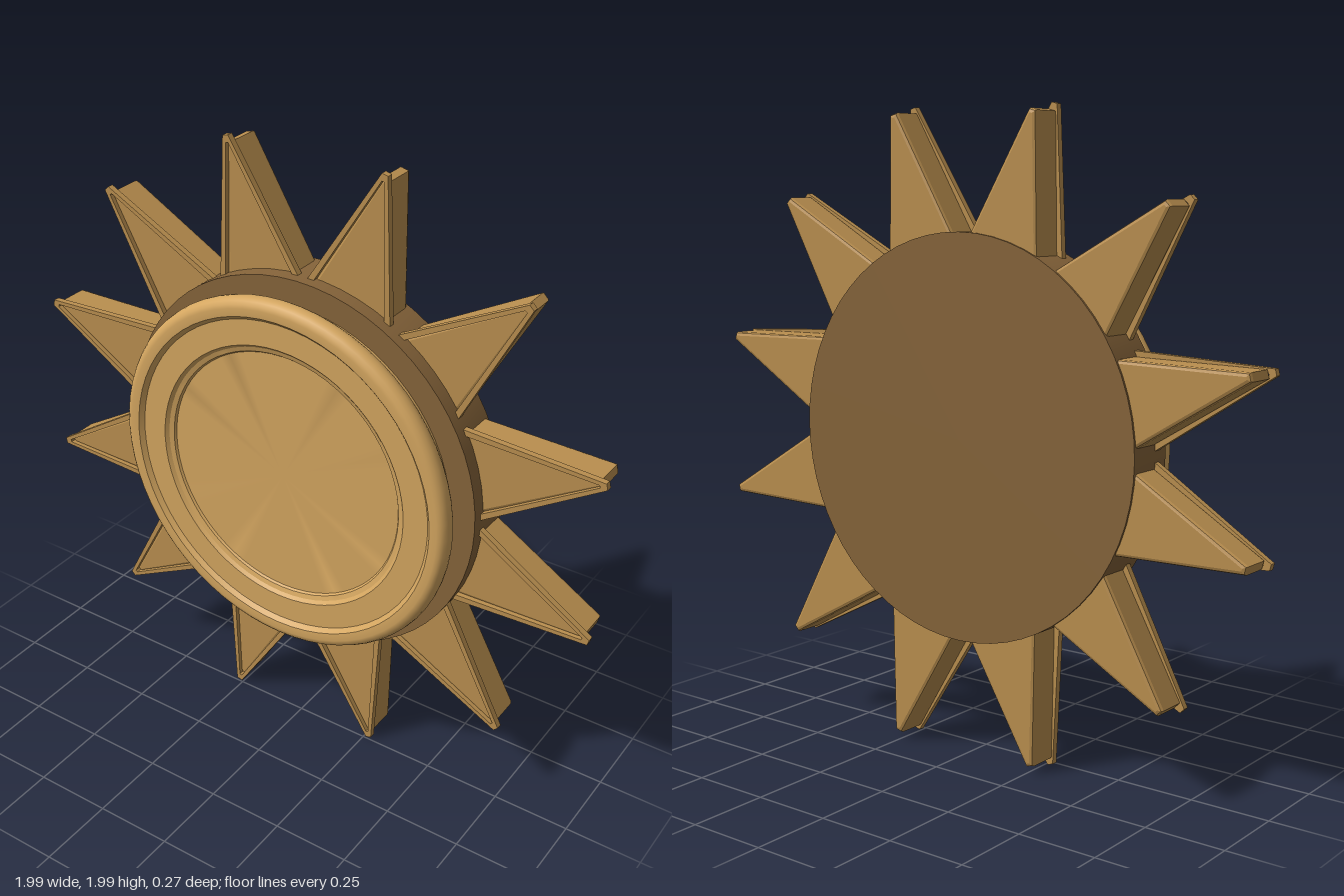
import * as THREE from 'three';
import { toCreasedNormals } from 'three/addons/utils/BufferGeometryUtils.js';

const material = (name, color) => new THREE.MeshStandardMaterial({ name, color });

// Spike outline pointing along +y, shrunk by an inset; rBase hides inside the hub.
function spikeOutline(inset, rBase, Type = THREE.Shape) {
  const slope = 0.32;
  const tip = 1.03 - inset * 1.1;
  const half = r => Math.max(0.004, 0.01 + (1.03 - r) * slope - inset * 1.05);
  return new Type([
    new THREE.Vector2(-half(rBase), rBase),
    new THREE.Vector2(half(rBase), rBase),
    new THREE.Vector2(half(tip), tip),
    new THREE.Vector2(-half(tip), tip),
  ]);
}

// Turned part: [radius, z] points from back to front.
function turned(name, points, mat) {
  const geo = new THREE.LatheGeometry(points.map(([r, z]) => new THREE.Vector2(r, z)), 64);
  geo.rotateX(Math.PI / 2);
  const mesh = new THREE.Mesh(toCreasedNormals(geo, 0.45), mat);
  mesh.name = name;
  return mesh;
}

export function createModel() {
  const lightGold = material('light gold', 0xd4a660);
  const gold = material('gold', 0xba8f4f);
  const darkBronze = material('dark bronze', 0x86643a);

  const model = new THREE.Group();
  model.name = 'sunBadge';
  const badge = new THREE.Group();
  badge.name = 'badge';
  badge.position.y = 1;
  model.add(badge);

  // Hub disc
  badge.add(turned('hubDisc', [[0, -0.135], [0.625, -0.135], [0.625, 0.03], [0, 0.03]], darkBronze));

  // Medallion: neck, rounded rim, flat ring and sunken centre
  const rim = [];
  for (let i = 0; i <= 8; i++) {
    const a = -Math.PI / 2 + (i / 8) * Math.PI;
    rim.push([0.56 + 0.03 * Math.cos(a), 0.104 + 0.034 * Math.sin(a)]);
  }
  badge.add(turned('medallion', [
    [0.545, 0.02], [0.545, 0.07], ...rim,
    [0.535, 0.136], [0.522, 0.122],
    [0.44, 0.122], [0.43, 0.112], [0.415, 0.107], [0.41, 0.1], [0, 0.1],
  ], lightGold));

  // Spike body with softened edges
  const bodyGeo = new THREE.ExtrudeGeometry(spikeOutline(0.03, 0.5), {
    depth: 0.086, bevelEnabled: true, bevelSize: 0.012, bevelThickness: 0.012, bevelSegments: 2,
  });
  bodyGeo.translate(0, 0, -0.116);

  // Raised border along the front edge of each spike
  const borderShape = spikeOutline(0, 0.5);
  borderShape.holes.push(spikeOutline(0.02, 0.52, THREE.Path));
  const borderGeo = new THREE.ExtrudeGeometry(borderShape, {
    depth: 0.02, bevelEnabled: false,
  });
  borderGeo.translate(0, 0, -0.025);

  // Ring of twelve spikes
  for (let i = 0; i < 12; i++) {
    const spike = new THREE.Group();
    spike.name = `spike${i + 1}`;
    const body = new THREE.Mesh(bodyGeo, gold);
    body.name = 'spikeBody';
    const border = new THREE.Mesh(borderGeo, gold);
    border.name = 'spikeBorder';
    spike.add(body, border);
    spike.rotation.z = ((i + 0.5) / 12) * Math.PI * 2;
    badge.add(spike);
  }
  return model;
}
